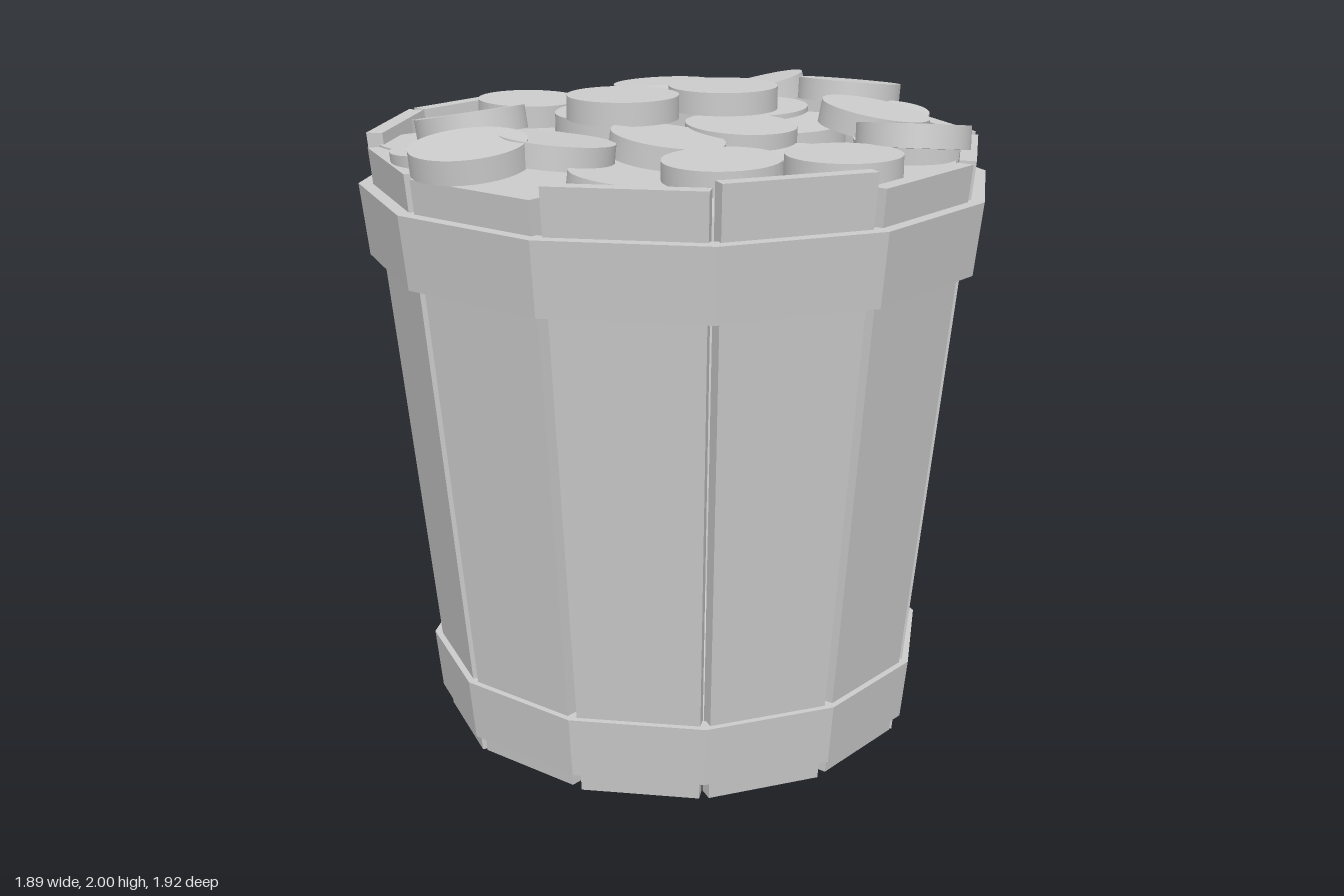
import * as THREE from 'three';

const RAD = Math.PI / 180;
const flat = new THREE.MeshStandardMaterial({ color: 0xcccccc, flatShading: true });
const smooth = new THREE.MeshStandardMaterial({ color: 0xcccccc });
const double = new THREE.MeshStandardMaterial({ color: 0xcccccc, side: THREE.DoubleSide });

// Leaning plank, narrower at the foot, facing +z
function staveGeometry(bottom, top) {
  const g = new THREE.BoxGeometry(1, 1, 1);
  const p = g.attributes.position;
  for (let i = 0; i < p.count; i++) {
    const y = p.getY(i) > 0 ? top : bottom;
    const t = y / 1.87;
    const outer = 0.72 + 0.19 * t;
    const half = 0.178 + 0.049 * t;
    p.setXYZ(i, Math.sign(p.getX(i)) * half, y, p.getZ(i) > 0 ? outer : outer - 0.05);
  }
  g.computeVertexNormals();
  return g;
}

// Twelve-sided band; radii are measured to the middle of a side
function hoop(name, y0, y1, r0, r1, thick) {
  const k = 1 / Math.cos(15 * RAD);
  const pts = [[r0, y0], [r1, y1], [r1 - thick, y1], [r0 - thick, y0], [r0, y0]]
    .map(([r, y]) => new THREE.Vector2(r * k, y));
  const mesh = new THREE.Mesh(new THREE.LatheGeometry(pts, 12, 13 * RAD), flat);
  mesh.name = name;
  return mesh;
}

export function createModel() {
  const model = new THREE.Group();

  // Staves, with slightly uneven ends
  const staves = new THREE.Group();
  staves.name = 'staves';
  const tops = [1.84, 1.89, 1.87, 1.83, 1.84, 1.88, 1.88, 1.86, 1.88, 1.86, 1.85, 1.845];
  tops.forEach((top, k) => {
    const stave = new THREE.Mesh(staveGeometry(k % 3 ? 0 : 0.01, top), flat);
    stave.name = 'stave';
    stave.rotation.y = (88 - 30 * k) * RAD;
    staves.add(stave);
  });
  model.add(staves);

  // Bands around the staves
  model.add(hoop('upperHoop', 1.51, 1.73, 0.91, 0.935, 0.06));
  model.add(hoop('lowerHoop', 0.06, 0.25, 0.745, 0.765, 0.055));

  // Bucket floor
  const floor = new THREE.Mesh(new THREE.CylinderGeometry(0.7, 0.69, 0.04, 12), flat);
  floor.name = 'floor';
  floor.position.y = 0.05;
  floor.rotation.y = 13 * RAD;
  model.add(floor);

  // Level surface beneath the loose discs
  const bed = new THREE.Mesh(new THREE.CircleGeometry(0.875, 12), double);
  bed.name = 'discBed';
  bed.geometry.rotateX(-Math.PI / 2).rotateY(13 * RAD);
  bed.position.y = 1.79;
  model.add(bed);

  // Heap of discs: x, centre height, z, then lean of the face towards x and z
  const heap = [
    [0.12, 1.91, -0.79, 0, -0.13], [-0.18, 1.89, -0.68, -0.22, 0.12], [-0.43, 1.89, -0.5, -0.05, 0],
    [0, 1.86, -0.42, 0, 0.04], [0.33, 1.85, -0.62, 0.05, 0.05], [0.46, 1.9, -0.39, 0.16, -0.08],
    [0.71, 1.9, -0.2, -0.08, -0.16], [-0.2, 1.89, -0.27, 0.08, 0.05], [0.05, 1.96, -0.17, 0, 0],
    [-0.06, 1.965, 0.19, 0, 0], [-0.69, 1.86, -0.11, 0.02, 0], [-0.72, 1.84, 0.19, -0.16, -0.05],
    [-0.24, 1.88, 0.03, 0, 0.04], [0.23, 1.88, -0.01, 0.05, 0], [0.68, 1.86, 0.13, 0, 0],
    [0.18, 1.88, 0.29, 0.12, -0.05], [-0.47, 1.9, 0.41, -0.2, -0.02], [0.49, 1.87, 0.45, 0, 0.03],
    [0, 1.89, 0.57, 0.04, -0.1], [-0.34, 1.85, 0.65, -0.08, 0.06], [-0.13, 1.895, 0.79, 0, 0.13],
    [0.27, 1.82, 0.59, 0.08, -0.08], [-0.25, 1.84, 0.36, 0.05, -0.08], [0.2, 1.84, -0.33, 0, 0.05],
    [-0.42, 1.83, -0.18, 0.08, 0], [0.55, 1.82, -0.45, -0.05, 0.05], [-0.57, 1.81, 0.47, 0, 0],
    [0.48, 1.82, 0.06, 0.05, 0.03],
  ];
  const discs = new THREE.Group();
  discs.name = 'discs';
  const discGeometry = new THREE.CylinderGeometry(0.168, 0.168, 0.07, 40);
  const up = new THREE.Vector3(0, 1, 0);
  for (const [x, y, z, leanX, leanZ] of heap) {
    const disc = new THREE.Mesh(discGeometry, smooth);
    disc.name = 'disc';
    disc.position.set(x, y, z);
    disc.quaternion.setFromUnitVectors(up, new THREE.Vector3(leanX, 1, leanZ).normalize());
    discs.add(disc);
  }
  model.add(discs);

  return model;
}
